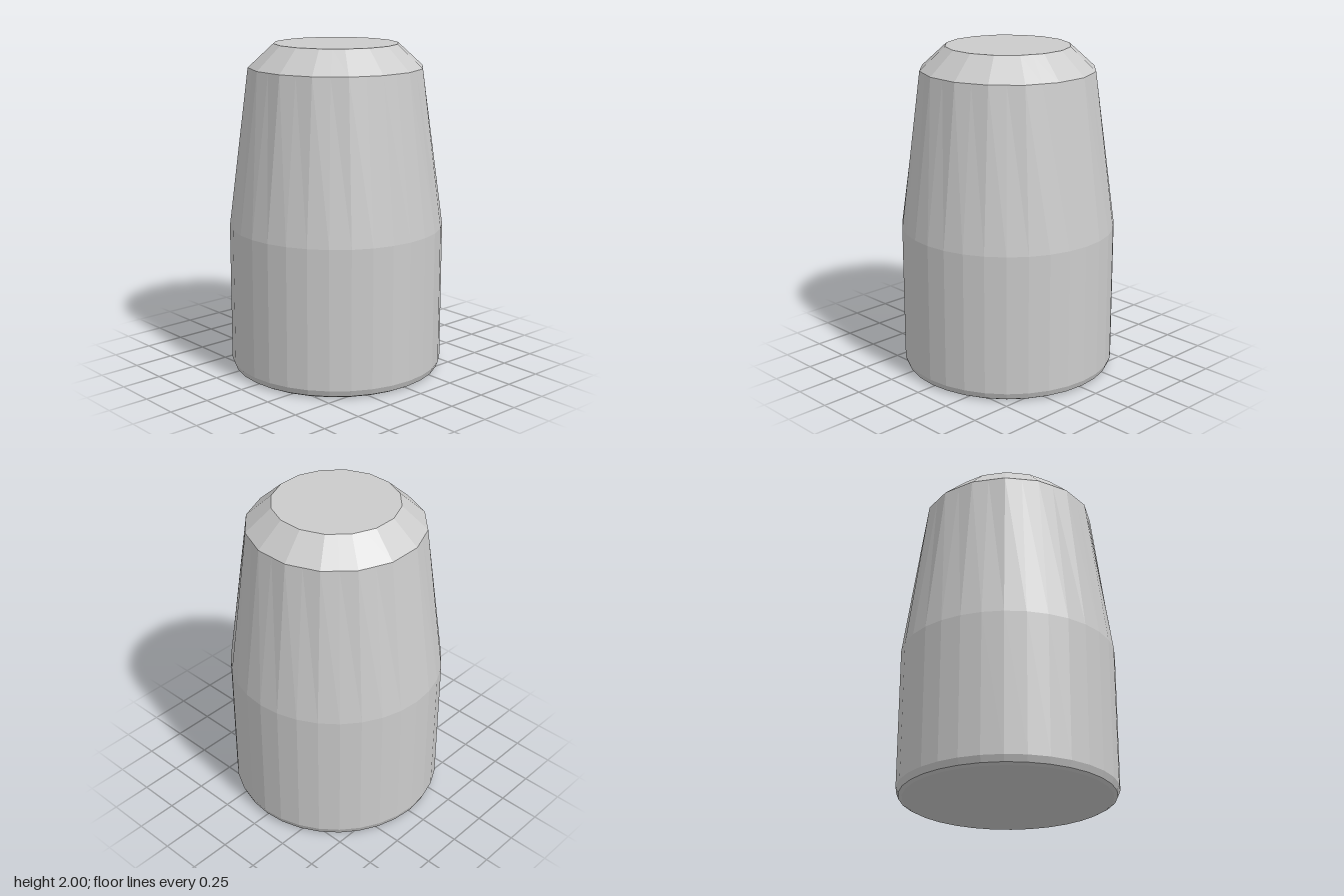
import * as THREE from 'three';

const SIDES = 32;

export function createModel() {
  const group = new THREE.Group();
  group.name = 'taperedPlug';
  const material = new THREE.MeshStandardMaterial({ color: 0xcccccc, flatShading: true });

  // Profile from the base centre, up the straight wall and taper, to the top centre
  const profile = [
    [0, 0], [0.615, 0], [0.637, 0.012], [0.652, 0.05],
    [0.652, 0.9], [0.528, 1.86], [0.375, 2], [0, 2],
  ].map(([r, y]) => new THREE.Vector2(r, y));
  const geometry = new THREE.LatheGeometry(profile, SIDES);

  // The shoulder and top have half as many sides: pull every second corner onto its chord
  const position = geometry.attributes.position;
  const chord = Math.cos((2 * Math.PI) / SIDES);
  for (let i = 0; i < position.count; i++) {
    const column = Math.floor(i / profile.length);
    if (position.getY(i) > 1.5 && column % 2 === 0) {
      position.setX(i, position.getX(i) * chord);
      position.setZ(i, position.getZ(i) * chord);
    }
  }
  geometry.computeVertexNormals();

  const body = new THREE.Mesh(geometry, material);
  body.name = 'body';
  group.add(body);
  return group;
}
